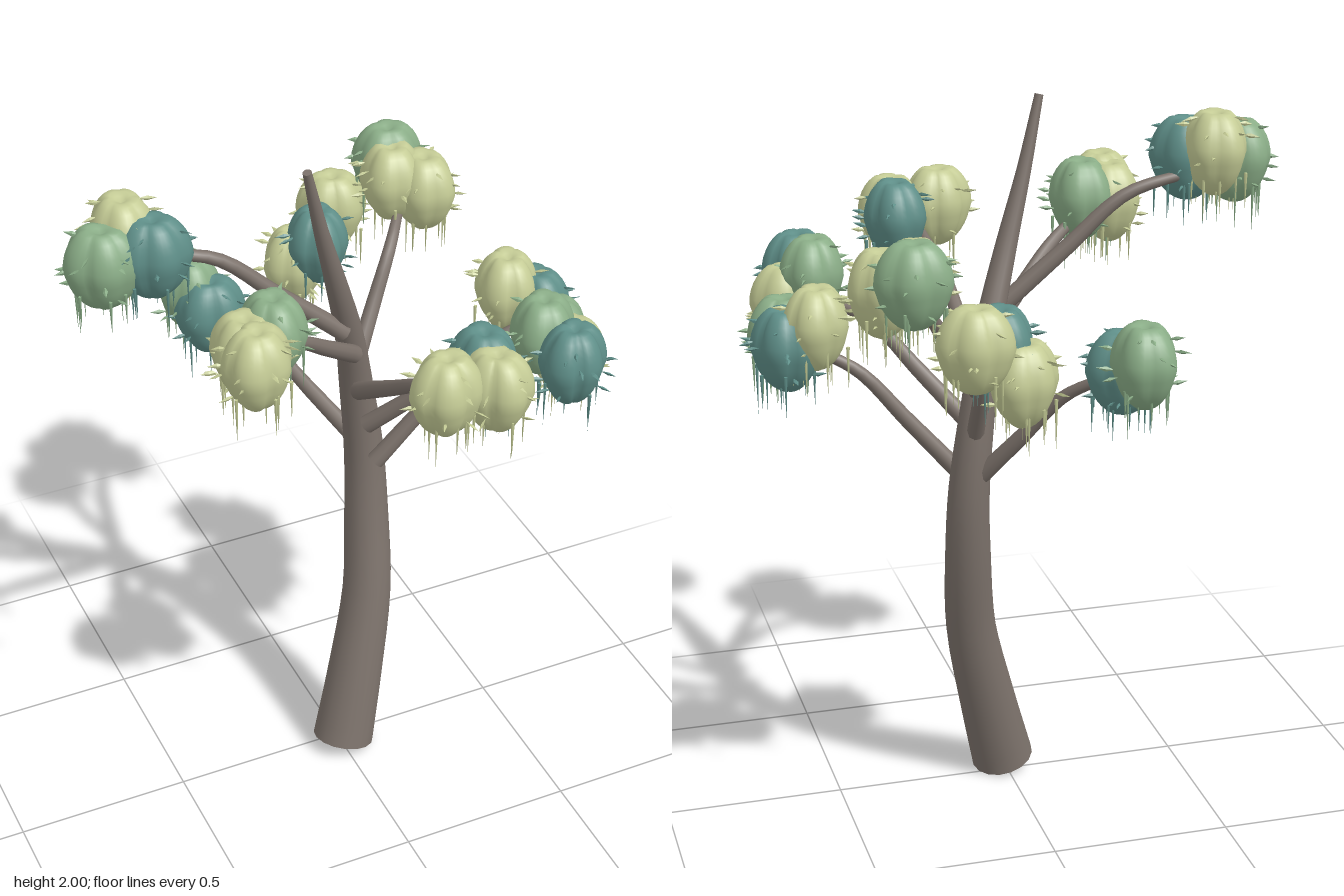
import * as THREE from 'three';
import { mergeGeometries, mergeVertices } from 'three/addons/utils/BufferGeometryUtils.js';

const V = (p) => new THREE.Vector3(...p);

function seeded(seed) {
  let s = seed;
  return () => ((s = (s * 16807) % 2147483647) / 2147483647);
}

// Round limb that follows points [x, y, z, radius], closed at both ends
function limb(points, steps, sides) {
  const curve = new THREE.CatmullRomCurve3(points.map(V));
  const frames = curve.computeFrenetFrames(steps);
  const pos = [], index = [];
  for (let i = 0; i <= steps; i++) {
    const t = i / steps, f = t * (points.length - 1);
    const k = Math.min(Math.floor(f), points.length - 2);
    const r = THREE.MathUtils.lerp(points[k][3], points[k + 1][3], f - k);
    const c = curve.getPoint(t);
    for (let j = 0; j < sides; j++) {
      const a = (j / sides) * Math.PI * 2;
      const p = c.clone()
        .addScaledVector(frames.normals[i], Math.cos(a) * r)
        .addScaledVector(frames.binormals[i], Math.sin(a) * r);
      pos.push(p.x, p.y, p.z);
      if (i < steps) {
        const n = (j + 1) % sides, A = i * sides + j, B = i * sides + n;
        index.push(A, B, B + sides, A, B + sides, A + sides);
      }
    }
  }
  // end caps have their own vertices so the rims stay sharp
  for (const i of [0, steps]) {
    const first = pos.length / 3;
    pos.push(...pos.slice(i * sides * 3, (i + 1) * sides * 3));
    for (let j = 1; j < sides - 1; j++) {
      if (i === 0) index.push(first, first + j + 1, first + j);
      else index.push(first, first + j, first + j + 1);
    }
  }
  const g = new THREE.BufferGeometry();
  g.setAttribute('position', new THREE.Float32BufferAttribute(pos, 3));
  g.setIndex(index);
  g.computeVertexNormals();
  return g;
}

// Lobed foliage ball with a dimpled crown
const R = 0.094, H = 0.122;
function foliageBall(rand) {
  let g = new THREE.SphereGeometry(1, 40, 18);
  g.deleteAttribute('normal');
  g.deleteAttribute('uv');
  g = mergeVertices(g, 1e-4);
  const p = g.attributes.position;
  const yaw = rand() * 6.28, wobble = rand() * 6.28;
  for (let i = 0; i < p.count; i++) {
    const x = p.getX(i), y = p.getY(i), z = p.getZ(i);
    const a = Math.atan2(z, x) + yaw, flat = Math.hypot(x, z);
    const lobe = 0.8 + 0.2 * Math.sqrt(Math.abs(Math.sin(a * 2.5))) + 0.08 * Math.sin(2 * a + wobble);
    const r = R * lobe * (y > 0 ? 1.03 : 1 + 0.12 * y);
    const dimple = y > 0 ? 0.028 * Math.max(0, 1 - flat * 2.2) : 0;
    p.setXYZ(i, x * r, y * H * (0.94 + 0.06 * lobe) - dimple, z * r);
  }
  g.computeVertexNormals();
  return g;
}

// Small leaf blades pointing outwards
function leafBlades(rand) {
  const parts = [], up = new THREE.Vector3(0, 1, 0);
  for (let i = 0; i < 18; i++) {
    const a = (i * 2.4) + rand() * 0.6, h = -0.6 + 1.35 * rand();
    const r = R * Math.sqrt(1 - h * h);
    const dir = new THREE.Vector3(Math.cos(a), (rand() - 0.5) * 0.4, Math.sin(a)).normalize();
    const g = new THREE.OctahedronGeometry(1);
    g.scale(0.007, 0.02 + rand() * 0.008, 0.004);
    g.applyQuaternion(new THREE.Quaternion().setFromUnitVectors(up, dir));
    g.translate(Math.cos(a) * (r + 0.008), h * H, Math.sin(a) * (r + 0.008));
    parts.push(g);
  }
  return mergeGeometries(parts);
}

// Thin strands hanging from the lower half
function hangingStrands(rand) {
  const parts = [];
  for (let i = 0; i < 11; i++) {
    const a = i * 2.4 + rand(), r = R * (0.45 + 0.5 * rand()), len = 0.08 + 0.07 * rand();
    const g = new THREE.ConeGeometry(0.005, len, 4);
    g.rotateX(Math.PI);
    g.translate(Math.cos(a) * r, -0.055 - len / 2, Math.sin(a) * r);
    parts.push(g);
  }
  return mergeGeometries(parts);
}

export function createModel() {
  const mat = (name, color) => {
    const m = new THREE.MeshStandardMaterial({ color });
    m.name = name;
    return m;
  };
  const bark = mat('bark', 0x7c726b);
  const leaf = {
    K: mat('paleFoliage', 0xc5cc96),
    G: mat('greenFoliage', 0x8bae88),
    T: mat('tealFoliage', 0x5f8f89),
  };
  const model = new THREE.Group();
  model.name = 'tree';
  const add = (parent, name, geometry, material) => {
    const m = new THREE.Mesh(geometry, material);
    m.name = name;
    parent.add(m);
    return m;
  };

  // Leaning, curved trunk
  add(model, 'trunk', limb([
    [0.005, 0.025, 0.037, 0.09], [0.06, 0.24, 0.0, 0.081], [0.12, 0.5, -0.05, 0.071],
    [0.14, 0.74, -0.1, 0.064], [0.142, 0.95, -0.125, 0.057], [0.115, 1.18, -0.12, 0.048],
    [0.07, 1.4, -0.075, 0.039], [0.01, 1.6, -0.025, 0.03], [-0.05, 1.8, 0.01, 0.02],
    [-0.1, 2.0, 0.037, 0.012],
  ], 36, 16), bark);

  // Each bough: start, elbow, tip and its foliage balls [colour, x, y, z]
  const boughs = [
    { path: [[0.14, 0.96, -0.13], [-0.09, 1.28, -0.31], [-0.18, 1.34, -0.39]],
      balls: [['G', -0.24, 1.39, -0.47], ['T', -0.21, 1.35, -0.39]] },
    { path: [[0.14, 0.96, -0.045], [0.44, 1.3, 0.0], [0.55, 1.35, 0.02]],
      balls: [['K', 0.54, 1.43, -0.05], ['T', 0.62, 1.37, -0.03], ['G', 0.6, 1.36, 0.11]] },
    { path: [[0.11, 1.1, -0.04], [0.36, 1.38, 0.16], [0.46, 1.41, 0.25]],
      balls: [['G', 0.49, 1.48, 0.25], ['T', 0.51, 1.46, 0.38], ['K', 0.56, 1.4, 0.27]] },
    { path: [[0.13, 1.1, -0.14], [0.14, 1.38, -0.31], [0.14, 1.43, -0.43]],
      balls: [['T', 0.14, 1.46, -0.44], ['K', 0.09, 1.38, -0.49], ['K', 0.23, 1.5, -0.54]] },
    { path: [[0.11, 1.22, -0.13], [0.3, 1.53, -0.28], [0.37, 1.57, -0.38]],
      balls: [['K', 0.35, 1.64, -0.4], ['K', 0.43, 1.61, -0.36], ['G', 0.37, 1.66, -0.47]] },
    { path: [[0.08, 1.23, -0.03], [0.11, 1.47, 0.33], [0.13, 1.52, 0.45]],
      balls: [['K', 0.065, 1.58, 0.52], ['K', 0.2, 1.56, 0.53], ['T', 0.21, 1.57, 0.44]] },
    { path: [[0.07, 1.35, -0.04], [-0.18, 1.57, 0.14], [-0.28, 1.62, 0.21]],
      balls: [['G', -0.27, 1.66, 0.2], ['K', -0.36, 1.65, 0.31], ['K', -0.36, 1.64, 0.23]] },
    { path: [[0.04, 1.43, -0.04], [-0.34, 1.76, -0.075], [-0.5, 1.79, -0.085]],
      balls: [['G', -0.63, 1.81, -0.05], ['K', -0.55, 1.85, -0.11], ['T', -0.5, 1.82, -0.03]] },
  ];

  const rand = seeded(4711);
  for (const { path, balls } of boughs) {
    const bough = new THREE.Group();
    bough.name = 'bough';
    model.add(bough);
    const [s, e, t] = path;
    const mix = (k) => s.map((v, i) => v + (e[i] - v) * k);
    add(bough, 'branch', limb([
      [...s, 0.026], [...mix(0.5), 0.022], [...mix(0.93), 0.018], [...t, 0.013],
    ], 14, 10), bark);
    for (const [c, x, y, z] of balls) {
      const cluster = new THREE.Group();
      cluster.name = 'foliageCluster';
      cluster.position.set(x, y, z);
      add(cluster, 'foliageBall', foliageBall(rand), leaf[c]);
      add(cluster, 'leafBlades', leafBlades(rand), leaf[c]);
      add(cluster, 'hangingStrands', hangingStrands(rand), leaf[c]);
      bough.add(cluster);
    }
  }
  return model;
}
